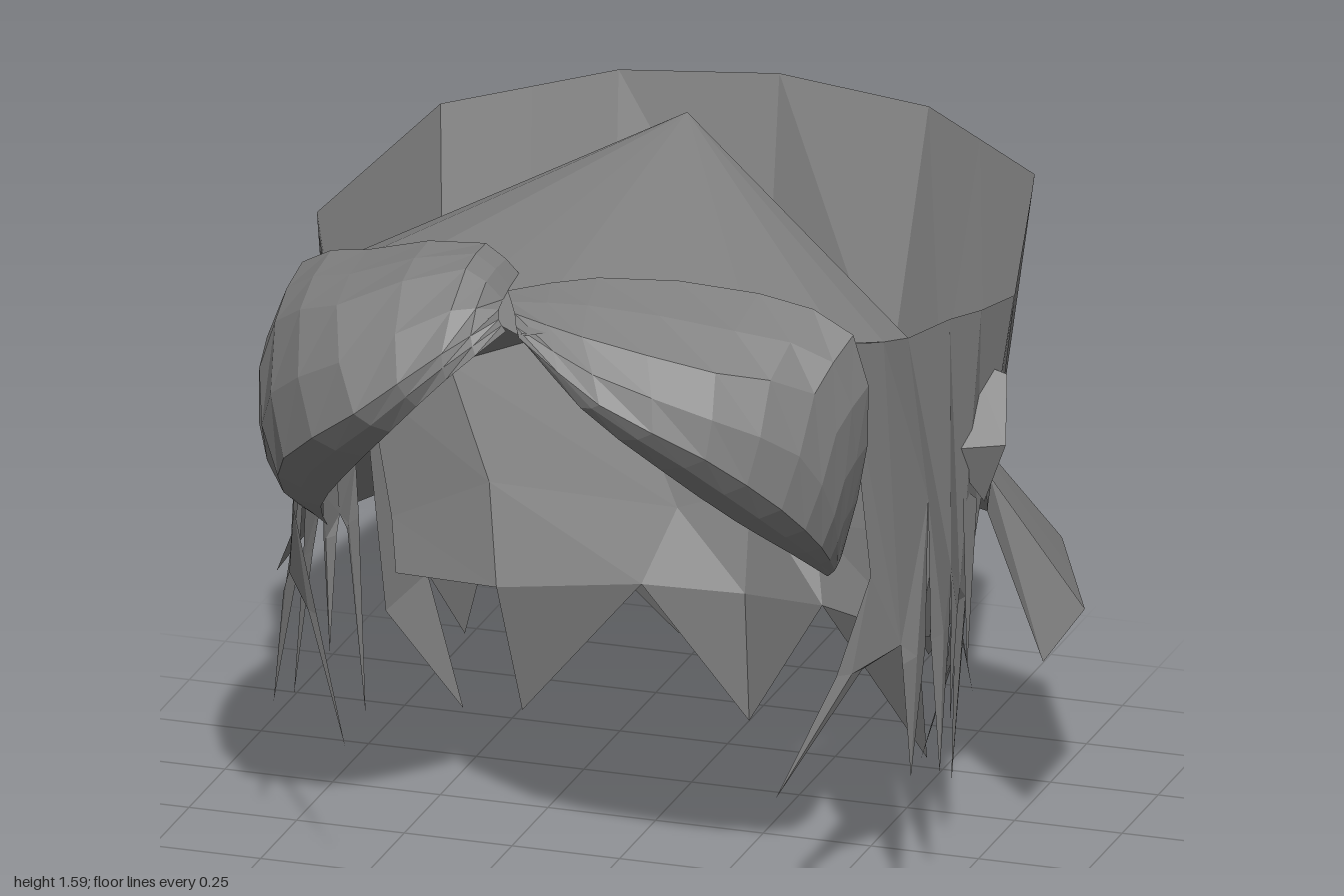
import * as THREE from 'three';

const material = new THREE.MeshStandardMaterial({ color: 0x838383, flatShading: true, side: THREE.DoubleSide });

// Flat-shaded mesh from a list of triangles, each of three [x, y, z] corners
function facets(name, triangles) {
  const geometry = new THREE.BufferGeometry();
  geometry.setAttribute('position', new THREE.Float32BufferAttribute(triangles.flat(2), 3));
  geometry.computeVertexNormals();
  const mesh = new THREE.Mesh(geometry, material);
  mesh.name = name;
  return mesh;
}

// Skin between successive rows of points
function skin(rows) {
  const triangles = [];
  for (let r = 0; r + 1 < rows.length; r++) {
    const a = rows[r], b = rows[r + 1];
    for (let i = 0; i + 1 < a.length; i++) {
      triangles.push([a[i], b[i], b[i + 1]], [a[i], b[i + 1], a[i + 1]]);
    }
  }
  return triangles;
}

// Rounds a grid of rows by halving its steps along curves in both directions
function rounded(rows) {
  const halve = (row) => new THREE.CatmullRomCurve3(row.map((p) => new THREE.Vector3(...p)))
    .getPoints(2 * (row.length - 1)).map((v) => v.toArray());
  const transpose = (grid) => grid[0].map((_, i) => grid.map((row) => row[i]));
  return transpose(transpose(rows.map(halve)).map(halve));
}

const flip = ([x, y, z]) => [-x, y, z];

// A row given from the centre line to +x, extended to both sides
const both = (half) => [...half.slice(1).reverse().map(flip), ...half];

// A pointed lock: two root corners, two middle corners, a ridge point and a tip
function lock(rootA, rootB, midA, midB, tip, bulge = 0.01) {
  const ridge = midA.map((v, i) => (v + midB[i]) / 2);
  const length = Math.hypot(ridge[0], ridge[2]) || 1;
  ridge[0] += (ridge[0] / length) * bulge;
  ridge[2] += (ridge[2] / length) * bulge;
  return [
    [rootA, midA, ridge], [rootA, ridge, rootB], [rootB, ridge, midB],
    [midA, tip, ridge], [ridge, tip, midB],
  ];
}

export function createModel() {
  const group = new THREE.Group();

  // Crown: a fan from the peak, its edge dropping inside the back wall
  const peak = [0, 1.6, -0.22];
  const backRim = [[0, 0.94, -0.77], [0.34, 0.91, -0.66], [0.62, 0.86, -0.42], [0.69, 0.93, -0.07]];
  const rim = both([
    [0, 1.49, 0.94], [0.2, 1.49, 0.78], [0.43, 1.47, 0.64], [0.62, 1.41, 0.56],
    [0.67, 1.37, 0.42], [0.68, 1.33, 0.28], [0.69, 1.14, 0.06],
    ...backRim.slice().reverse(),
  ]);
  group.add(facets('crown', rim.slice(1).map((p, i) => [peak, rim[i], p])));

  // Raised back wall and the flared skirt below it
  const wallTop = both([[0, 1.46, -0.86], [0.36, 1.44, -0.82], [0.52, 1.425, -0.7], [0.69, 1.41, -0.57], [0.81, 1.32, -0.07]]);
  const wallBottom = both([[0, 0.87, -0.77], [0.32, 0.82, -0.66], [0.48, 0.87, -0.55], [0.63, 0.76, -0.41], [0.76, 0.82, -0.03]]);
  group.add(facets('backWall', skin([wallTop, wallBottom])));
  const skirtTop = both([
    [0, 0.87, -0.77], [0.32, 0.82, -0.66], [0.48, 0.87, -0.55], [0.63, 0.76, -0.41], [0.69, 0.81, -0.26], [0.76, 0.82, -0.03],
  ]);
  const skirtHem = both([
    [0, 0.53, -1], [0.36, 0.52, -0.85], [0.71, 0.51, -0.7], [0.8, 0.505, -0.51], [0.89, 0.5, -0.32], [0.89, 0.48, -0.03],
  ]);
  group.add(facets('backSkirt', skin([skirtTop, skirtHem])));

  // Nape layer narrowing below the rim
  const nape = both([[0, 0.55, -0.66], [0.16, 0.5, -0.63], [0.52, 0.6, -0.4], [0.64, 0.62, -0.08]]);
  const hem = [[0, 0.32, -0.62], [0.21, 0.35, -0.53], [0.49, 0.37, -0.36], [0.62, 0.5, -0.05]];
  group.add(facets('nape', skin([both(backRim), nape, both(hem)])));
  const centreTip = [0, 0.01, -0.65];
  group.add(facets('centreNapeLock', [[flip(hem[1]), centreTip, hem[0]], [hem[0], centreTip, hem[1]]]));

  // Outer nape sheet ending in broad points, over the inner nape points
  const napeTop = [[0.69, 0.8, -0.07], [0.65, 0.8, -0.27], [0.59, 0.8, -0.44], [0.4, 0.82, -0.63], [0.12, 0.85, -0.74]];
  const napeNotches = [[0.65, 0.4, -0.07], [0.62, 0.42, -0.27], [0.55, 0.4, -0.46], [0.34, 0.36, -0.64], [0.08, 0.36, -0.72]];
  const napeTips = [[0.53, 0.12, -0.25], [0.59, 0.22, -0.44], [0.42, 0.22, -0.64], [0.21, 0.14, -0.79]];
  const napeLocks = [
    [hem[1], [0.47, 0.04, -0.48], hem[2]],
    ...skin([napeTop, napeNotches]),
    ...napeTips.map((tip, i) => [napeNotches[i], tip, napeNotches[i + 1]]),
  ];

  // Side hair: one sheet from the crown to the wall's front edge, then separate points
  const sideTop = [[0.63, 1.41, 0.56], [0.67, 1.37, 0.42], [0.68, 1.33, 0.28], [0.73, 1.33, 0.14], [0.77, 1.32, 0.04], [0.81, 1.32, -0.07]];
  const notches = [[0.67, 0.85, 0.51], [0.71, 0.66, 0.42], [0.72, 0.95, 0.26], [0.73, 0.74, 0.13], [0.72, 0.66, 0.04], [0.72, 0.75, -0.07]];
  const sideTips = [[0.5, 0.36, 0.66], [0.74, 0.36, 0.44], [0.75, 0.31, 0.27], [0.72, 0.36, 0.11], [0.68, 0.17, -0.02]];
  const sideHair = skin([sideTop, notches]);
  sideTips.forEach((tip, i) => {
    const a = notches[i], b = notches[i + 1];
    const midY = Math.min(0.62, a[1] - 0.04, b[1] - 0.04);
    const leanX = (tip[0] - (a[0] + b[0]) / 2) * 0.35;
    const leanZ = (tip[2] - (a[2] + b[2]) / 2) * 0.25;
    const mid = (p, shift) => [p[0] + leanX, midY, p[2] + leanZ + shift];
    sideHair.push(...lock(a, b, mid(a, -0.01), mid(b, 0.02), tip));
  });

  // Small tuft beside the front edge of the back wall
  const tuftTop = [0.73, 1.17, -0.03], tuftEnd = [0.76, 0.85, -0.01];
  const tuftRing = [[0.62, 1.03, 0], [0.7, 1.0, 0.09], [0.82, 1.0, 0.02], [0.8, 1.14, -0.05]];
  const tuft = tuftRing.flatMap((p, i) => {
    const q = tuftRing[(i + 1) % tuftRing.length];
    return [[tuftTop, p, q], [tuftEnd, q, p]];
  });
  // Thin spike below the tuft
  tuft.push([[0.73, 0.9, 0.05], [0.78, 0.52, 0.17], [0.74, 0.85, -0.02]]);

  const mirrored = (triangles) => triangles.map((t) => [flip(t[0]), flip(t[2]), flip(t[1])]);
  for (const [name, part] of [['napeLocks', napeLocks], ['sideHair', sideHair], ['earTuft', tuft]]) {
    group.add(facets(name + 'Left', part), facets(name + 'Right', mirrored(part)));
  }

  // Swept fringe: rows run from the parting to the temple, top edge to lower edge
  group.add(facets('fringeLeft', skin(rounded([
    [[-0.1, 1.51, 0.73], [0.08, 1.53, 0.64], [0.43, 1.51, 0.57], [0.66, 1.45, 0.6], [0.68, 1.18, 0.56], [0.61, 0.9, 0.53]],
    [[-0.04, 1.51, 0.86], [0.13, 1.49, 0.9], [0.43, 1.43, 0.87], [0.62, 1.36, 0.75], [0.66, 1.13, 0.66], [0.61, 0.89, 0.55]],
    [[0, 1.49, 0.95], [0.2, 1.37, 0.99], [0.43, 1.25, 0.94], [0.57, 1.11, 0.83], [0.62, 0.98, 0.7], [0.6, 0.87, 0.55]],
    [[0.01, 1.48, 0.94], [0.15, 1.35, 0.97], [0.31, 1.2, 0.9], [0.45, 1.06, 0.8], [0.54, 0.95, 0.68], [0.58, 0.85, 0.54]],
  ]))));
  group.add(facets('fringeRight', skin(rounded([
    [[-0.1, 1.5, 0.62], [-0.18, 1.58, 0.64], [-0.48, 1.5, 0.56], [-0.66, 1.42, 0.48], [-0.71, 1.18, 0.56], [-0.6, 0.88, 0.53]],
    [[-0.1, 1.5, 0.76], [-0.18, 1.57, 0.78], [-0.47, 1.46, 0.81], [-0.65, 1.36, 0.7], [-0.7, 1.1, 0.66], [-0.6, 0.87, 0.55]],
    [[-0.07, 1.5, 0.88], [-0.18, 1.43, 0.95], [-0.37, 1.28, 0.99], [-0.58, 1.1, 0.85], [-0.63, 0.96, 0.7], [-0.59, 0.85, 0.55]],
    [[-0.04, 1.49, 0.92], [-0.17, 1.37, 0.95], [-0.31, 1.22, 0.92], [-0.46, 1.05, 0.8], [-0.55, 0.93, 0.68], [-0.58, 0.83, 0.54]],
  ]))));

  // Loose wisp on the right temple
  group.add(facets('templeWisp', lock(
    [-0.62, 1.42, 0.46], [-0.66, 1.38, 0.56], [-0.71, 1.1, 0.46], [-0.7, 1.1, 0.58], [-0.6, 0.85, 0.53],
  )));
  return group;
}
